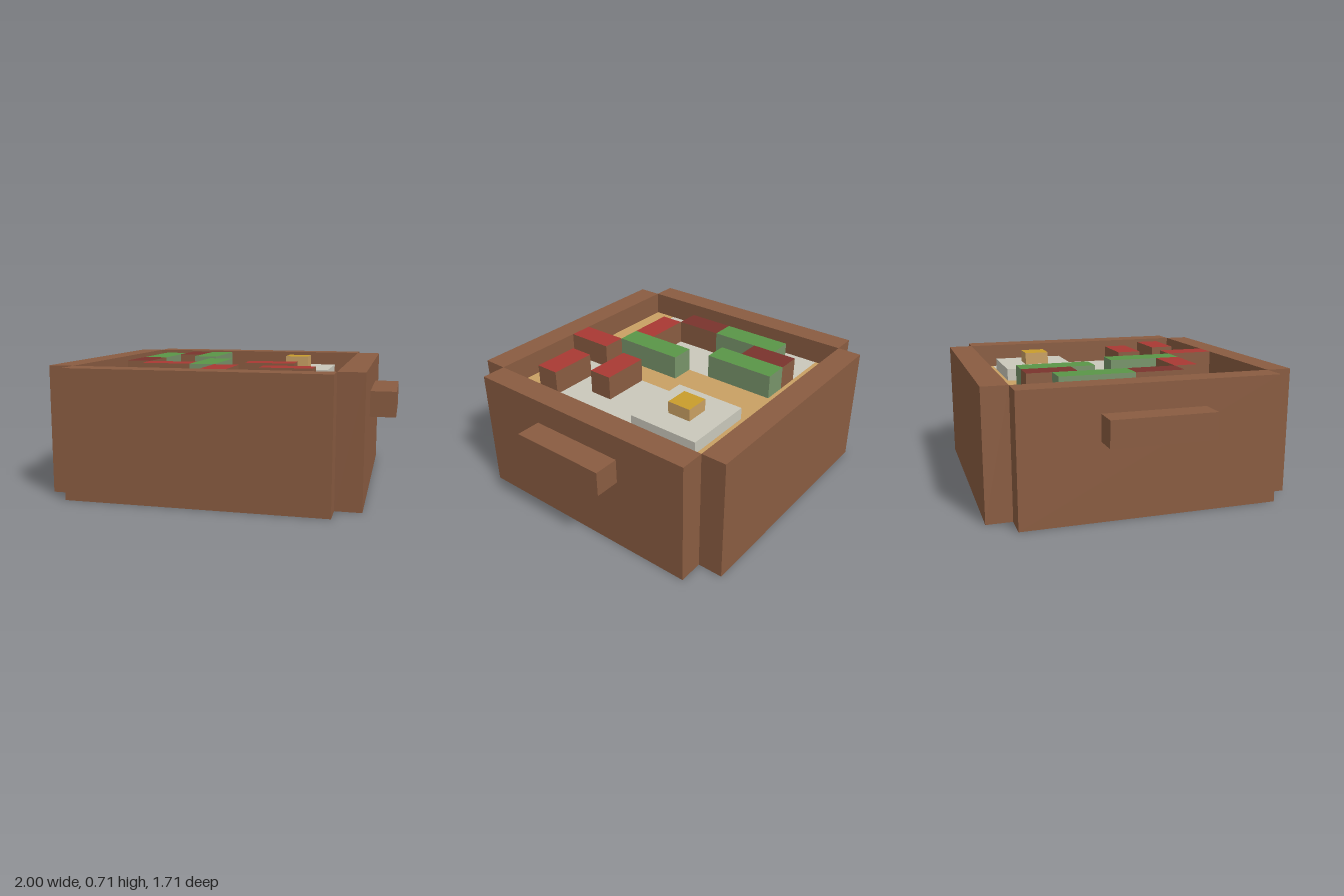
import * as THREE from 'three';

const U = 1 / 7; // one grid cell

const mat = (name, color) => {
  const m = new THREE.MeshStandardMaterial({ color });
  m.name = name;
  return m;
};

export function createModel() {
  const wood = mat('brown wood', 0x8a5c41);
  const sand = mat('tan sand', 0xc9a063);
  const stone = mat('pale stone', 0xcac8bb);
  const red = mat('red', 0xa93933);
  const darkRed = mat('dark red', 0x7a332d);
  const green = mat('leaf green', 0x5a9647);
  const moss = mat('moss green', 0x78946a);
  const gold = mat('gold', 0xc99d2c);

  const model = new THREE.Group();
  model.name = 'gardenCrate';

  // Box between two grid corners, with an optional different top colour
  const box = (name, [x0, x1], [y0, y1], [z0, z1], side, top = side) => {
    const geo = new THREE.BoxGeometry((x1 - x0) * U, (y1 - y0) * U, (z1 - z0) * U);
    const mesh = new THREE.Mesh(geo, top === side ? side : [side, side, top, side, side, side]);
    mesh.name = name;
    mesh.position.set((x0 + x1) / 2 * U, (y0 + y1) / 2 * U, (z0 + z1) / 2 * U);
    model.add(mesh);
  };

  // Crate: base, four walls with open corners, two handles
  box('base', [-5, 5], [0, 3], [-5, 5], wood);
  box('frontWall', [-5, 5], [0, 5], [5, 6], wood);
  box('backWall', [-5, 5], [0, 5], [-6, -5], wood);
  box('leftWall', [5, 6], [0, 5], [-5, 5], wood);
  box('rightWall', [-6, -5], [0, 5], [-5, 5], wood);
  box('leftHandle', [6, 7], [3, 4], [-2, 2], wood);
  box('rightHandle', [-7, -6], [3, 4], [-2, 2], wood);

  // Ground: sand paths around two stone beds
  box('frontPath', [-5, 5], [3, 4], [4, 5], sand);
  box('backPath', [-5, 5], [3, 4], [-5, -4], sand);
  box('middlePath', [-1, 1], [3, 4], [-4, 4], sand);
  box('leftBed', [1, 5], [3, 4], [-4, 4], stone);
  box('rightBed', [-5, -1], [3, 4], [-4, 4], stone);

  // Plinth with a gold-topped block
  box('plinth', [1, 4], [4, 4.5], [-4, -1], stone);
  box('goldBlock', [2, 3], [4.5, 5], [-3, -2], sand, gold);

  // Blocks on the ground: x range, z range
  const blocks = (name, side, top, list) =>
    list.forEach(([x, z], i) => box(name + (i + 1), x, [4, 5], z, side, top));

  blocks('redBlock', wood, red, [
    [[-3, -1], [2, 3]], [[0, 1], [3, 5]], [[1, 3], [1, 2]], [[2, 4], [3, 4]],
  ]);
  blocks('darkRedBlock', wood, darkRed, [
    [[-3, -2], [-4, -2]], [[-4, -3], [0, 2]],
  ]);
  blocks('hedge', moss, green, [
    [[-4, -3], [-3, 0]], [[-2, -1], [-4, -1]], [[-1, 0], [0, 3]],
  ]);

  return model;
}
